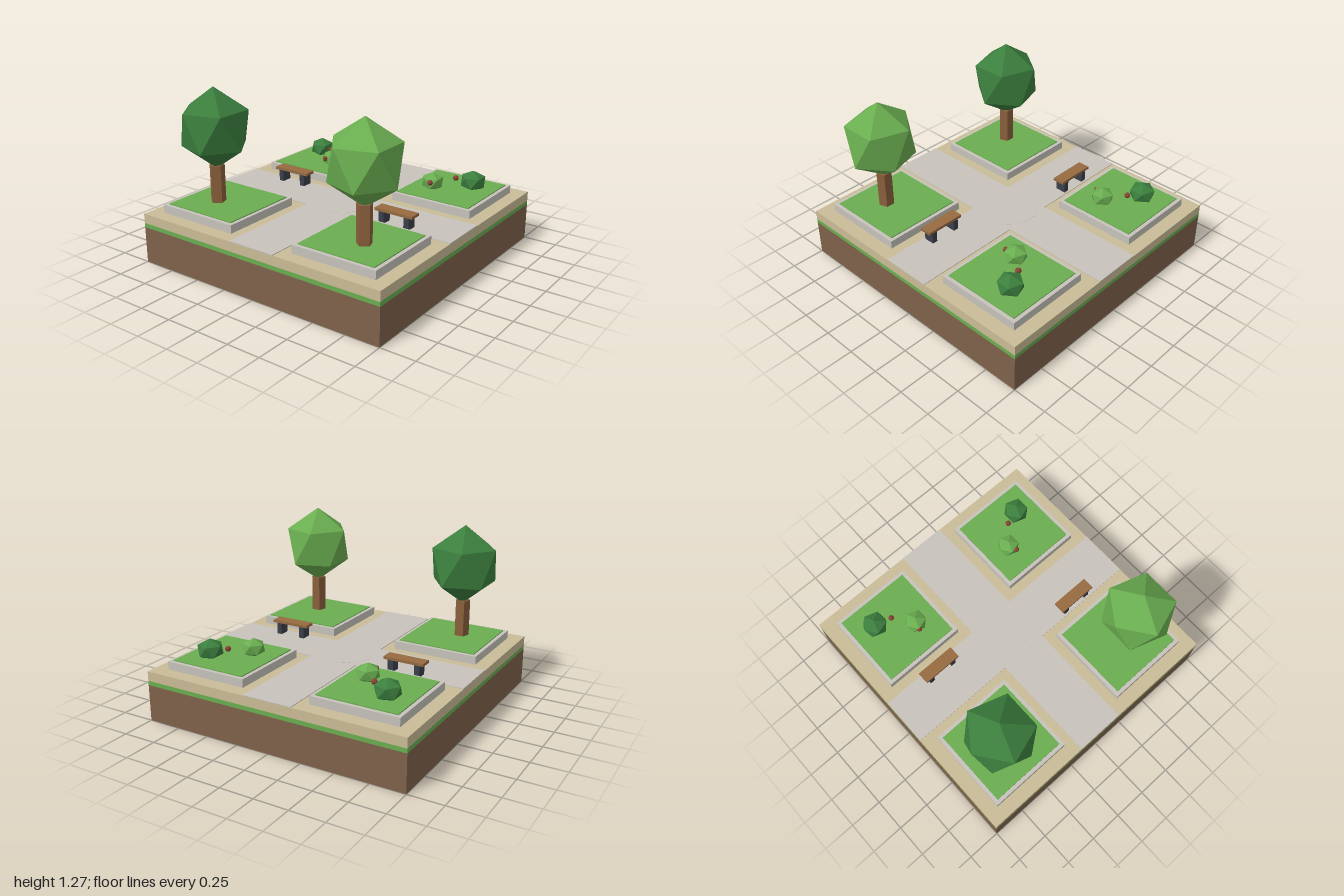
import * as THREE from 'three';

const mat = (name, color, flatShading = false) => {
  const m = new THREE.MeshStandardMaterial({ color, flatShading });
  m.name = name;
  return m;
};

export function createModel() {
  const model = new THREE.Group();
  model.name = 'parkTile';

  const soil = mat('soil brown', 0x7f624a);
  const grass = mat('grass green', 0x6aae50);
  const sand = mat('sand', 0xcabc97);
  const stone = mat('stone grey', 0xc7c3bc);
  const bark = mat('bark brown', 0x8a603c, true);
  const darkLeaf = mat('dark leaf green', 0x3c7f3e, true);
  const lightLeaf = mat('light leaf green', 0x6aae50, true);
  const seatWood = mat('seat wood', 0x966a40);
  const iron = mat('dark iron', 0x3a3f4a);
  const petal = mat('flower red', 0x8a4034, true);

  const add = (parent, name, geometry, material, x, y, z) => {
    const mesh = new THREE.Mesh(geometry, material);
    mesh.name = name;
    mesh.position.set(x, y, z);
    parent.add(mesh);
    return mesh;
  };
  // Box placed by its bottom and top heights
  const slab = (parent, name, material, w, d, y0, y1, x = 0, z = 0) =>
    add(parent, name, new THREE.BoxGeometry(w, y1 - y0, d), material, x, (y0 + y1) / 2, z);

  // Icosahedron standing on a point, upper ring pointing to -x
  const foliage = (parent, name, material, r, ry, x, y, z) => {
    const g = new THREE.IcosahedronGeometry(r, 0);
    g.rotateX(-Math.atan((1 + Math.sqrt(5)) / 2));
    g.rotateY(-Math.PI / 2);
    g.scale(1, ry / r, 1);
    return add(parent, name, g, material, x, y, z);
  };

  // Layered ground
  slab(model, 'soilLayer', soil, 2, 2, 0, 0.268);
  slab(model, 'grassLayer', grass, 2, 2, 0.268, 0.3);
  slab(model, 'sandLayer', sand, 2, 2, 0.3, 0.37);

  // Crossing paths, with side arms that meet the long path
  slab(model, 'longPath', stone, 0.37, 2, 0.367, 0.375);
  for (const s of [-1, 1]) {
    slab(model, 'sidePath', stone, 0.815, 0.37, 0.367, 0.375, s * 0.5925, 0);
  }
  add(model, 'plazaDisc', new THREE.CylinderGeometry(0.21, 0.21, 0.006, 32), stone, 0, 0.373, 0);

  // Four raised planters with lawns
  for (const sx of [-1, 1]) {
    for (const sz of [-1, 1]) {
      slab(model, 'planterCurb', stone, 0.64, 0.64, 0.37, 0.43, sx * 0.58, sz * 0.58);
      slab(model, 'planterLawn', grass, 0.585, 0.585, 0.425, 0.437, sx * 0.58, sz * 0.58);
    }
  }

  for (const s of [-1, 1]) {
    // Front trees
    const tree = new THREE.Group();
    tree.name = s < 0 ? 'rightTree' : 'leftTree';
    tree.position.set(s * 0.63, 0, 0.63);
    add(tree, 'trunk', new THREE.CylinderGeometry(0.056, 0.056, 0.28, 5), bark, 0, 0.57, 0);
    foliage(tree, 'canopy', s < 0 ? darkLeaf : lightLeaf, 0.267, 0.293, 0, 0.977, 0);
    model.add(tree);

    // Back shrubs and flowers
    foliage(model, 'darkBush', darkLeaf, 0.1, 0.08, s * 0.7, 0.487, -0.68);
    foliage(model, 'lightBush', lightLeaf, 0.088, 0.07, s * 0.46, 0.487, -0.5);
    for (const [x, z] of [[0.58, -0.635], [0.48, -0.43]]) {
      add(model, 'flower', new THREE.IcosahedronGeometry(0.021, 1), petal, s * x, 0.498, z);
    }

    // Benches beside the side paths
    const bench = new THREE.Group();
    bench.name = 'bench';
    bench.position.set(s * 0.55, 0, s * 0.13);
    slab(bench, 'seat', seatWood, 0.3, 0.09, 0.462, 0.482);
    for (const x of [-0.1, 0.1]) {
      slab(bench, 'benchLeg', iron, 0.04, 0.08, 0.37, 0.462, x, 0);
    }
    model.add(bench);
  }
  return model;
}
